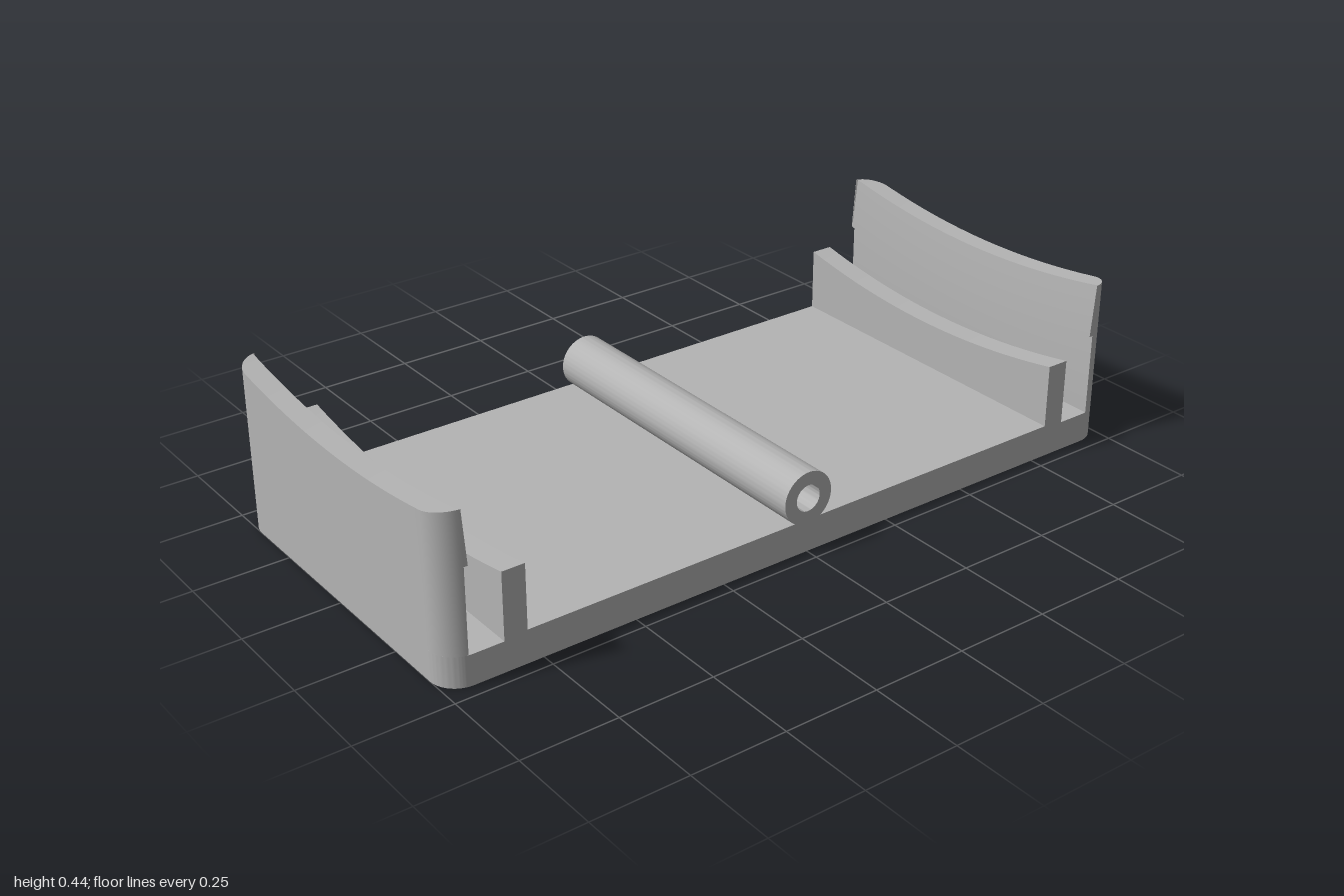
import * as THREE from 'three';
import { toCreasedNormals } from 'three/addons/utils/BufferGeometryUtils.js';

const DEPTH = 0.465, RADIUS = 0.07, FLOOR = 0.08;
const sag = (z, low, rise) => low + rise * (z / DEPTH) ** 2;

// Skin an anticlockwise x-y section along stations of rising z, with end caps
function loft(stations, section) {
  const rings = stations.map((z) => section(z).map(([x, y]) => new THREE.Vector3(x, y, z)));
  const points = [];
  const n = rings[0].length;
  for (let s = 0; s < rings.length - 1; s++) {
    for (let i = 0; i < n; i++) {
      const j = (i + 1) % n;
      const a = rings[s][i], b = rings[s][j], c = rings[s + 1][j], d = rings[s + 1][i];
      points.push(a, b, c, a, c, d);
    }
  }
  const cap = (ring, flip) => {
    const flat = ring.map((p) => new THREE.Vector2(p.x, p.y));
    for (const [a, b, c] of THREE.ShapeUtils.triangulateShape(flat, [])) {
      points.push(ring[a], ring[flip ? c : b], ring[flip ? b : c]);
    }
  };
  cap(rings[0], true);
  cap(rings[rings.length - 1], false);
  return toCreasedNormals(new THREE.BufferGeometry().setFromPoints(points), 0.5);
}

// Plan outline of the tray
function roundedRect(w, d, r) {
  const s = new THREE.Shape();
  s.absarc(w - r, d - r, r, 0, Math.PI / 2);
  s.absarc(r - w, d - r, r, Math.PI / 2, Math.PI);
  s.absarc(r - w, r - d, r, Math.PI, Math.PI * 1.5);
  s.absarc(w - r, r - d, r, Math.PI * 1.5, Math.PI * 2);
  s.closePath();
  return s;
}

export function createModel() {
  const model = new THREE.Group();
  model.name = 'tray';
  const grey = new THREE.MeshStandardMaterial({ color: 0xb4b4b4 });
  grey.name = 'grey plastic';
  const add = (name, geometry, parent = model) => {
    const mesh = new THREE.Mesh(geometry, grey);
    mesh.name = name;
    parent.add(mesh);
    return mesh;
  };

  // Base plate and the raised floor between the channels
  const plate = new THREE.ExtrudeGeometry(roundedRect(1, DEPTH, RADIUS), {
    depth: FLOOR, bevelEnabled: false, curveSegments: 16,
  });
  plate.rotateX(-Math.PI / 2);
  add('basePlate', toCreasedNormals(plate, 0.5));
  add('raisedFloor', new THREE.BoxGeometry(1.7, 0.007, DEPTH * 2)).position.y = FLOOR + 0.0035;

  // Hollow hinge tube across the middle
  const ring = new THREE.Shape().absarc(0, 0, 0.07, 0, Math.PI * 2);
  ring.holes.push(new THREE.Path().absarc(0, 0, 0.035, 0, Math.PI * 2, true));
  const tube = new THREE.ExtrudeGeometry(ring, {
    depth: DEPTH * 2, bevelEnabled: false, curveSegments: 40,
  });
  tube.translate(0, 0.145, -DEPTH);
  add('hingeTube', toCreasedNormals(tube, 0.5));

  // Stations: fine round the corners, even between them
  const half = [];
  for (let i = 0; i <= 10; i++) {
    const a = 0.158 + (Math.PI / 2 - 0.158) * (i / 10);
    half.push(DEPTH - RADIUS + RADIUS * Math.cos(a));
  }
  for (let i = 1; i < 8; i++) half.push((DEPTH - RADIUS) * (1 - i / 8));
  const wallStations = [...half.map((z) => -z), 0, ...half.slice().reverse()];
  const guideStations = Array.from({ length: 25 }, (_, i) => DEPTH * (i / 12 - 1));

  // End wall with a dipped rim and an inner snap lip
  const wallSection = (z) => {
    const corner = Math.max(0, Math.abs(z) - (DEPTH - RADIUS));
    const outer = 1 - RADIUS + Math.sqrt(RADIUS ** 2 - corner ** 2);
    const top = sag(z, 0.395, 0.045), lip = sag(z, 0.258, 0.042);
    return [[0.94, FLOOR], [outer, FLOOR], [outer, top],
      [Math.min(0.945, outer - 0.0005), top], [0.93, lip], [0.94, lip]];
  };
  // Low guide rib with a matching dipped top
  const guideSection = (z) => {
    const top = sag(z, 0.21, 0.046);
    return [[0.79, FLOOR], [0.85, FLOOR], [0.85, top], [0.79, top]];
  };
  const wall = loft(wallStations, wallSection);
  const guide = loft(guideStations, guideSection);
  for (const [name, turn] of [['left', 0], ['right', Math.PI]]) {
    const end = new THREE.Group();
    end.name = `${name}End`;
    end.rotation.y = turn;
    add(`${name}Wall`, wall, end);
    add(`${name}GuideRib`, guide, end);
    model.add(end);
  }
  return model;
}
